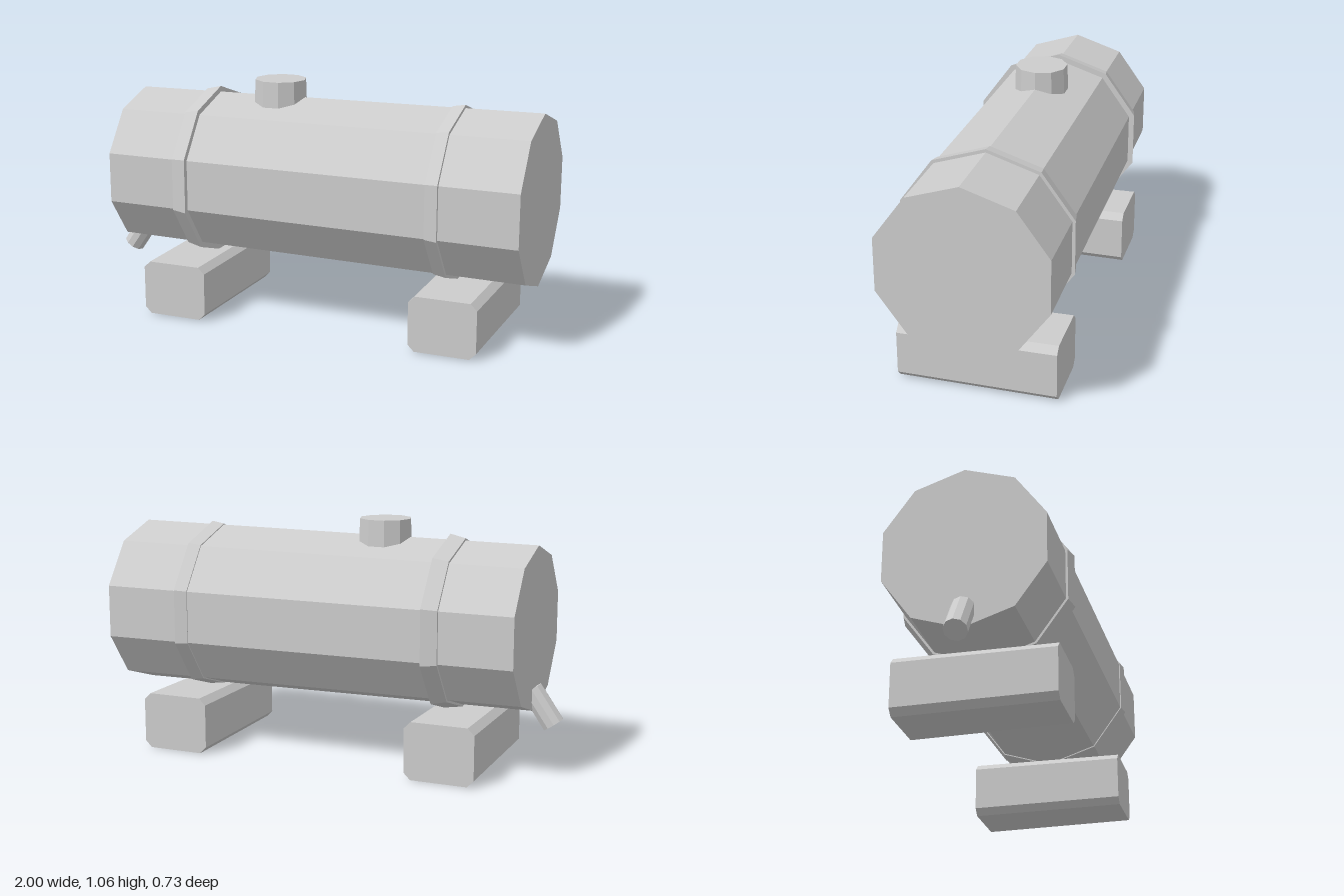
import * as THREE from 'three';

export function createModel() {
  const model = new THREE.Group();
  model.name = 'barrelOnBlocks';
  const grey = new THREE.MeshStandardMaterial({ color: 0xcccccc });
  grey.name = 'plain grey';
  const axisY = 0.617;

  function add(name, geometry) {
    // separate vertices per face give crisp low-poly shading
    const flat = geometry.index ? geometry.toNonIndexed() : geometry;
    flat.computeVertexNormals();
    const mesh = new THREE.Mesh(flat, grey);
    mesh.name = name;
    model.add(mesh);
    return mesh;
  }

  // Ten-sided drum section along x, with a corner pointing up
  function drum(name, x0, x1, r0, r1) {
    const g = new THREE.CylinderGeometry(r1, r0, x1 - x0, 10, 1, false, Math.PI / 2);
    g.rotateZ(-Math.PI / 2);
    g.translate((x0 + x1) / 2, axisY, 0);
    return add(name, g);
  }

  // Slightly tapered barrel and its two flared hoops
  drum('barrel', -0.875, 1, 0.355, 0.373);
  drum('rightHoop', -0.555, -0.487, 0.368, 0.384);
  drum('leftHoop', 0.603, 0.66, 0.374, 0.384);

  // Filler cap on top
  const cap = new THREE.CylinderGeometry(0.114, 0.119, 0.155, 10, 1, false, Math.PI / 2);
  cap.translate(-0.19, 0.978, 0);
  add('fillerCap', cap);

  // Slanted spout at the end of the barrel
  const start = new THREE.Vector3(-0.96, 0.2125, 0);
  const end = new THREE.Vector3(-0.86, 0.357, 0);
  const dir = end.clone().sub(start);
  const spout = new THREE.CylinderGeometry(0.049, 0.049, dir.length(), 10, 1, false, Math.PI / 2);
  spout.applyQuaternion(
    new THREE.Quaternion().setFromUnitVectors(new THREE.Vector3(0, 1, 0), dir.normalize()));
  const mid = start.add(end).multiplyScalar(0.5);
  spout.translate(mid.x, mid.y, mid.z);
  add('spout', spout);

  // Bevelled support blocks, a touch thicker toward the back
  const w = 0.152, h = 0.124, c = 0.029;
  const outline = new THREE.Shape([
    [-w + c, -h], [w - c, -h], [w, -h + c], [w, h - c],
    [w - c, h], [-w + c, h], [-w, h - c], [-w, -h + c],
  ].map(([x, y]) => new THREE.Vector2(x, y)));

  for (const [name, x] of [['rightBlock', -0.565], ['leftBlock', 0.685]]) {
    const g = new THREE.ExtrudeGeometry(outline, { depth: 0.68, bevelEnabled: false });
    g.translate(0, 0, -0.34);
    const p = g.attributes.position;
    for (let i = 0; i < p.count; i++) {
      const s = p.getZ(i) < 0 ? 1.015 : 0.98;
      p.setXY(i, p.getX(i) * s, p.getY(i) * s);
    }
    g.translate(x, 0.126, 0);
    add(name, g);
  }

  return model;
}
